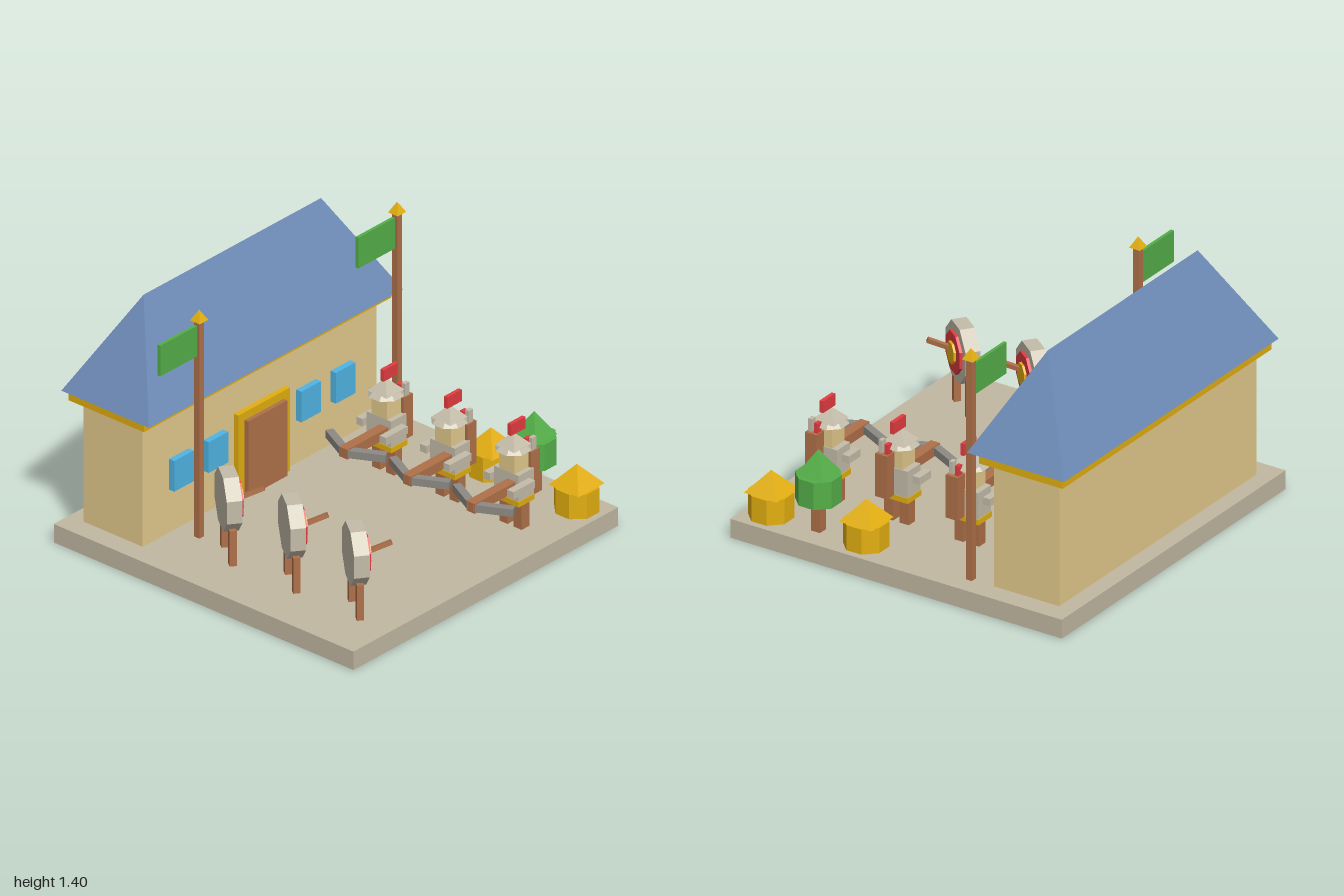
import * as THREE from 'three';

export function createModel() {
  const mat = (name, color) => {
    const m = new THREE.MeshStandardMaterial({ color });
    m.name = name;
    return m;
  };
  const base = mat('ground stone', 0xc2b8a2), wall = mat('sand wall', 0xe3ca8d);
  const gold = mat('gold', 0xe2ae10), roofBlue = mat('slate blue', 0x6e8cb8);
  const wood = mat('wood', 0xaf7049), glass = mat('window blue', 0x50b4e4);
  const green = mat('green', 0x54ae48), red = mat('red', 0xe23c40);
  const stone = mat('pale grey', 0xc4bca9), steel = mat('dark grey', 0x8d8a85);
  base.side = THREE.DoubleSide;

  const model = new THREE.Group();
  model.name = 'archeryRange';

  // Helpers: a named mesh, boxes, flat-sided octagons and square pyramids
  const add = (parent, name, geo, material, x, y, z) => {
    const mesh = new THREE.Mesh(geo, material);
    mesh.name = name;
    mesh.position.set(x, y, z);
    parent.add(mesh);
    return mesh;
  };
  const flat = (geo) => {
    const g = geo.toNonIndexed();
    g.computeVertexNormals();
    return g;
  };
  const box = (parent, name, material, w, h, d, x, y, z) =>
    add(parent, name, new THREE.BoxGeometry(w, h, d), material, x, y, z);
  const octagon = (w, h, topW = w) => {
    const k = 2 * Math.cos(Math.PI / 8);
    return flat(new THREE.CylinderGeometry(topW / k, w / k, h, 8).rotateY(Math.PI / 8));
  };
  const pyramid = (w, h) =>
    flat(new THREE.ConeGeometry(w / Math.SQRT2, h, 4).rotateY(Math.PI / 4));
  const group = (name, x, y, z) => {
    const g = new THREE.Group();
    g.name = name;
    g.position.set(x, y, z);
    model.add(g);
    return g;
  };

  // Ground slab, a shell left open underneath
  const slabGeo = new THREE.BoxGeometry(2, 0.105, 2);
  slabGeo.setIndex([...slabGeo.index.array].filter((_, i) => i < 18 || i >= 24));
  slabGeo.clearGroups();
  add(model, 'groundSlab', slabGeo, base, 0, 0.0525, 0);

  // Hall with hipped roof
  const hall = group('hall', 0, 0, 0);
  box(hall, 'walls', wall, 1.765, 0.697, 0.395, 0, 0.4535, -0.7075);
  box(hall, 'eaves', gold, 1.87, 0.055, 0.505, 0, 0.8275, -0.7075);
  const roofGeo = new THREE.BoxGeometry(1.92, 0.535, 0.585);
  const p = roofGeo.attributes.position;
  for (let i = 0; i < p.count; i++) {
    if (p.getY(i) > 0) {
      p.setX(i, Math.sign(p.getX(i)) * 0.67);
      p.setZ(i, 0);
    }
  }
  add(hall, 'roof', flat(roofGeo), roofBlue, 0, 1.1225, -0.6925);
  box(hall, 'doorFrame', gold, 0.39, 0.475, 0.04, 0, 0.3435, -0.5);
  box(hall, 'door', wood, 0.295, 0.43, 0.04, 0, 0.321, -0.475);
  for (const x of [-0.61, -0.35, 0.35, 0.61]) {
    box(hall, 'window', glass, 0.148, 0.175, 0.04, x, 0.4375, -0.495);
  }

  // Flagpoles
  for (const x of [-0.615, 0.88]) {
    const flag = group('flagpole', x, 0, -0.37);
    box(flag, 'pole', wood, 0.036, 1.244, 0.036, 0, 0.728, 0);
    add(flag, 'finial', pyramid(0.065, 0.06), gold, 0, 1.37, 0);
    box(flag, 'flag', green, 0.278, 0.175, 0.018, -0.155, 1.227, -0.008);
  }

  for (const z of [-0.13, 0.295, 0.72]) {
    // Target turned towards the archers
    const target = group('target', -0.665, 0, z);
    target.rotation.y = Math.atan2(0.8, 0.6);
    const disc = (name, w, t, zc, material) =>
      add(target, name, octagon(w, t).rotateX(Math.PI / 2), material, 0, 0.43, zc);
    disc('targetDisc', 0.305, 0.08, 0, stone);
    disc('targetRing', 0.213, 0.02, 0.046, red);
    disc('targetCentre', 0.112, 0.03, 0.054, gold);
    for (const s of [-1, 1]) {
      box(target, 'targetLeg', wood, 0.037, 0.2, 0.037, s * 0.1, 0.206, 0);
    }
    // Arrow stuck in the target
    const arrow = group('arrow', -0.6, 0.467, z + 0.09);
    arrow.quaternion.setFromUnitVectors(
      new THREE.Vector3(0, 0, 1), new THREE.Vector3(0.09, 0.06, 0.1).normalize());
    box(arrow, 'arrowShaft', wood, 0.024, 0.024, 0.15, 0, 0, 0);

    // Archer facing the target
    const archer = group('archer', 0.535, 0, z);
    for (const s of [-1, 1]) {
      box(archer, 'leg', wood, 0.058, 0.145, 0.055, -0.003, 0.178, s * 0.047);
    }
    box(archer, 'belt', gold, 0.122, 0.03, 0.172, 0.002, 0.26, -0.008);
    box(archer, 'torso', stone, 0.115, 0.15, 0.165, 0.002, 0.348, -0.008);
    box(archer, 'head', wall, 0.11, 0.12, 0.105, 0, 0.48, -0.005);
    add(archer, 'helmetBrim', octagon(0.18, 0.02, 0.14), stone, -0.003, 0.545, -0.008);
    add(archer, 'helmet', pyramid(0.132, 0.07), stone, -0.003, 0.588, -0.008);
    box(archer, 'plume', red, 0.11, 0.065, 0.022, 0.02, 0.65, -0.005);
    box(archer, 'leftArm', stone, 0.165, 0.042, 0.042, -0.067, 0.365, 0.102);
    box(archer, 'rightArm', stone, 0.1, 0.042, 0.042, -0.03, 0.365, -0.115);

    // Quiver with two arrow ends
    box(archer, 'quiver', wood, 0.07, 0.24, 0.072, 0.085, 0.39, 0.028);
    box(archer, 'arrowEnd', stone, 0.034, 0.07, 0.022, 0.085, 0.545, 0.045);
    box(archer, 'arrowEnd', red, 0.034, 0.055, 0.022, 0.085, 0.537, 0.01);

    // Crossbow with swept-back limbs
    box(archer, 'crossbowStock', wood, 0.37, 0.055, 0.055, -0.18, 0.355, 0.028);
    for (const s of [-1, 1]) {
      const limb = box(archer, 'crossbowLimb', steel, 0.043, 0.042, 0.205,
        -0.3, 0.355, 0.028 + s * 0.1);
      limb.rotation.y = s * 0.47;
    }
  }

  // Straw-coloured barrels and a tree between them
  for (const z of [0.28, 0.853]) {
    const barrel = group('barrel', 0.853, 0, z);
    add(barrel, 'barrelBody', octagon(0.22, 0.14), gold, 0, 0.175, 0);
    add(barrel, 'barrelTop', pyramid(0.198, 0.115), gold, 0, 0.3025, 0);
  }
  const tree = group('tree', 0.853, 0, 0.568);
  box(tree, 'trunk', wood, 0.055, 0.18, 0.055, 0, 0.195, 0);
  add(tree, 'foliage', octagon(0.22, 0.15), green, 0, 0.348, 0);
  add(tree, 'treeTop', pyramid(0.165, 0.135), green, 0, 0.49, 0);

  return model;
}
